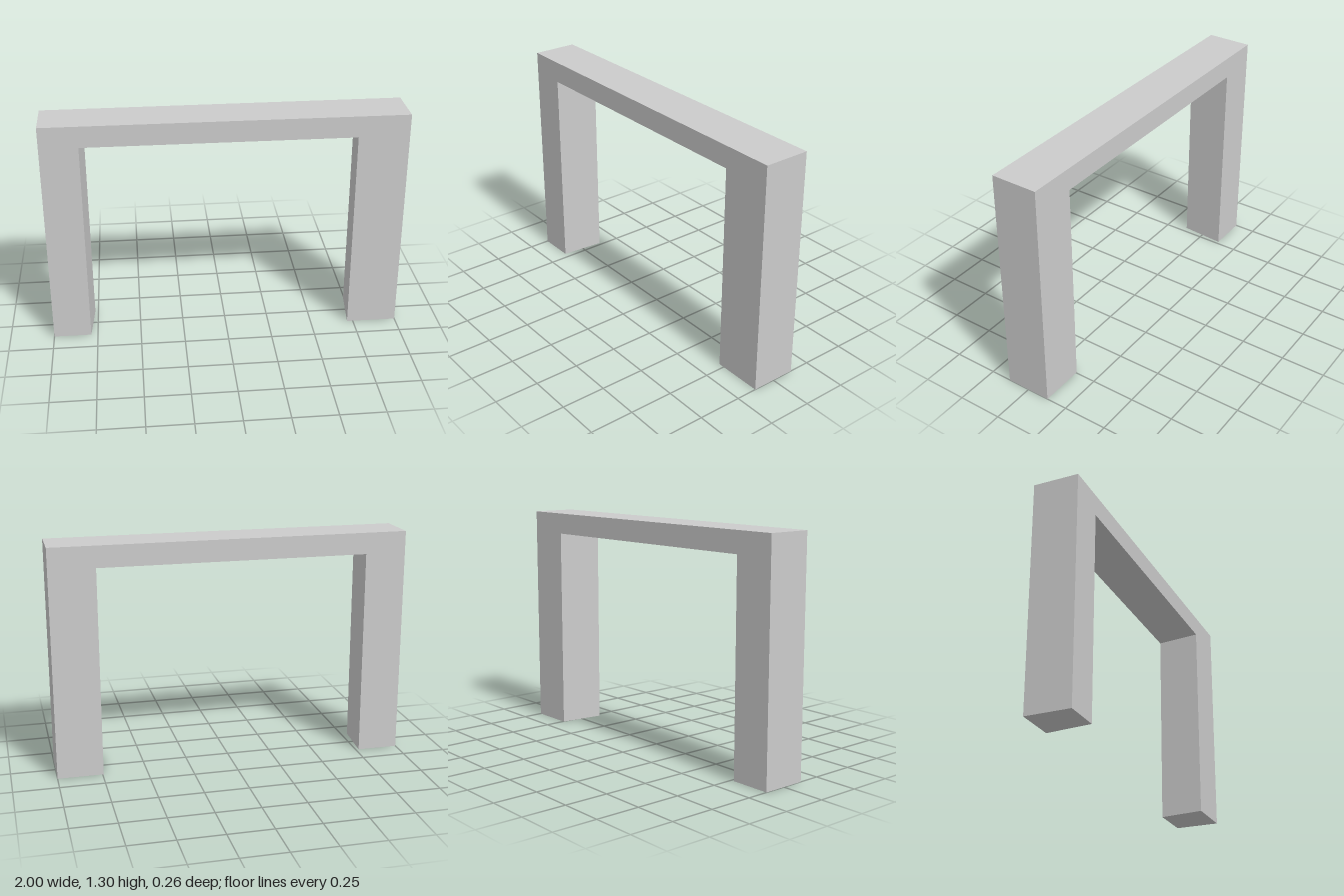
import * as THREE from 'three';

const HEIGHT = 1.297, LINTEL_BOTTOM = 1.176;

export function createModel() {
  const group = new THREE.Group();

  // Portal outline: two legs joined by a lintel
  const outline = new THREE.Shape([
    [-1, 0], [-0.788, 0], [-0.788, LINTEL_BOTTOM], [0.716, LINTEL_BOTTOM],
    [0.716, 0], [1, 0], [1, HEIGHT], [-1, HEIGHT],
  ].map(([x, y]) => new THREE.Vector2(x, y)));
  const geometry = new THREE.ExtrudeGeometry(outline, { depth: 2, bevelEnabled: false });
  geometry.translate(0, 0, -1);

  // Skew the inner leg faces toward the back; depth grows slightly toward +x
  const p = geometry.attributes.position;
  for (let i = 0; i < p.count; i++) {
    let x = p.getX(i);
    const side = p.getZ(i) > 0 ? 1 : -1;
    if (side < 0 && Math.abs(x) < 0.9) x = x < 0 ? -0.768 : 0.744;
    p.setX(i, x);
    p.setZ(i, side * (0.1285 + 0.0015 * x));
  }
  geometry.computeVertexNormals();

  const frame = new THREE.Mesh(
    geometry,
    new THREE.MeshStandardMaterial({ color: 0xcccccc, flatShading: true }),
  );
  frame.name = 'portalFrame';
  group.add(frame);
  return group;
}
